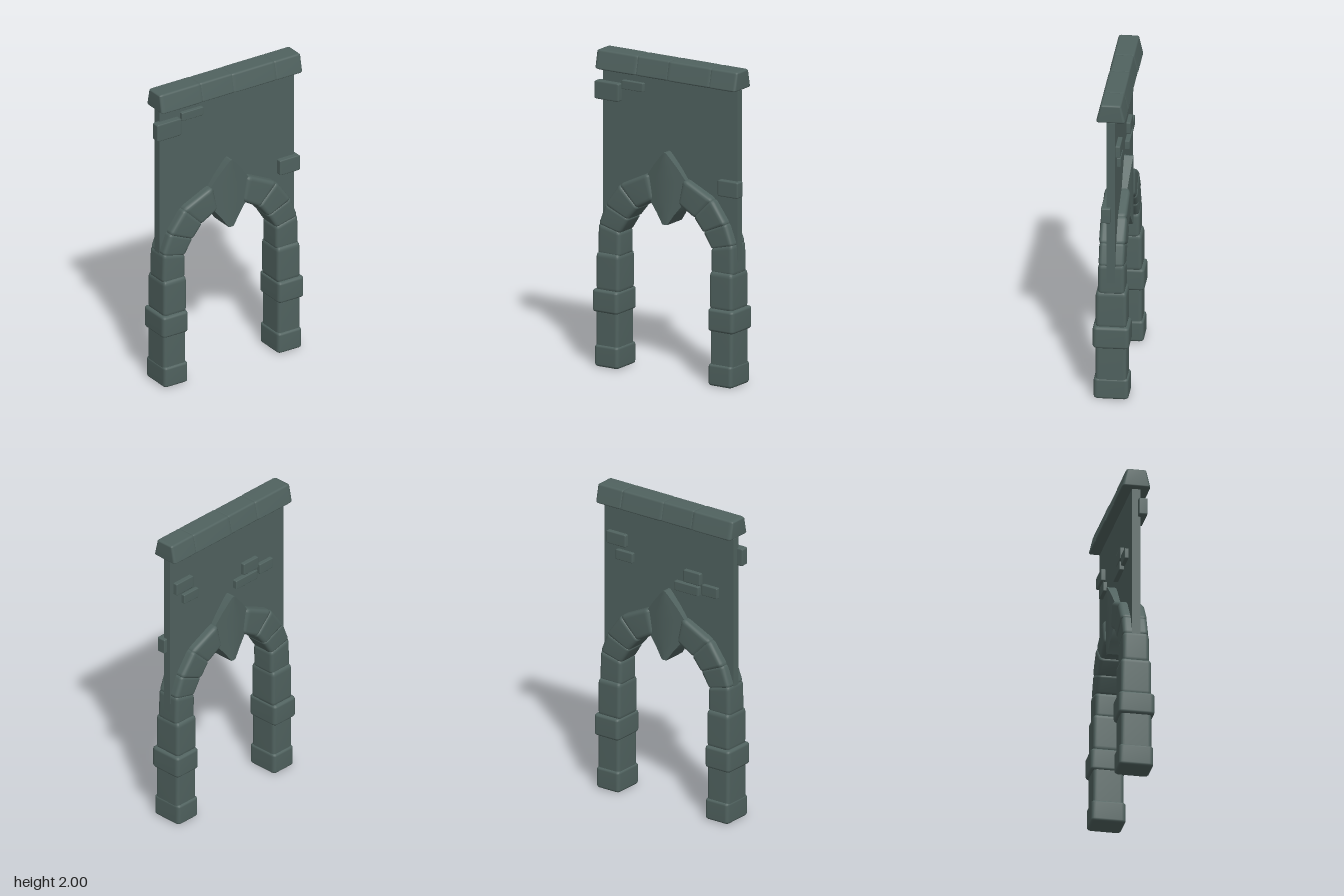
import * as THREE from 'three';
import { mergeVertices, toCreasedNormals } from 'three/addons/utils/BufferGeometryUtils.js';
import { RoundedBoxGeometry } from 'three/addons/geometries/RoundedBoxGeometry.js';

const stoneMat = new THREE.MeshStandardMaterial({ color: 0x50625f });
stoneMat.name = 'slate stone';

const lerp = THREE.MathUtils.lerp;

// Rounded stone warped to a four-cornered face (bl, br, tr, tl) with depth from z0 to z1;
// taper narrows the depth towards the top.
function stone(name, [bl, br, tr, tl], z0, z1, taper = 1, radius = 0.13) {
  let geo = new RoundedBoxGeometry(1, 1, 1, 2, radius);
  geo.deleteAttribute('normal');
  geo.deleteAttribute('uv');
  geo.clearGroups();
  geo = mergeVertices(geo, 1e-4);
  const p = geo.attributes.position;
  for (let i = 0; i < p.count; i++) {
    const u = p.getX(i) + 0.5, v = p.getY(i) + 0.5;
    const at = k => lerp(lerp(bl[k], br[k], u), lerp(tl[k], tr[k], u), v);
    const z = (z0 + z1) / 2 + p.getZ(i) * (z1 - z0) * lerp(1, taper, v);
    p.setXYZ(i, at(0), at(1), z);
  }
  geo.computeVertexNormals();
  const mesh = new THREE.Mesh(geo, stoneMat);
  mesh.name = name;
  return mesh;
}

const rect = (x0, x1, y0, y1) => [[x0, y0], [x1, y0], [x1, y1], [x0, y1]];

// Mirrors a face across x = 0, keeping its winding
const mirror = ([bl, br, tr, tl]) => [br, bl, tl, tr].map(([x, y]) => [-x + 0.004, y]);

// Thin wall above the arch, cut out along the arch stones
function wall() {
  const shape = new THREE.Shape();
  const arch = [[0.42, 0.72], [0.41, 0.86], [0.36, 0.99], [0.28, 1.1], [0.15, 1.17]];
  shape.moveTo(-0.49, 0.72);
  shape.lineTo(-0.49, 1.87);
  shape.lineTo(0.5, 1.87);
  shape.lineTo(0.5, 0.72);
  arch.forEach(([x, y]) => shape.lineTo(x, y));
  shape.lineTo(0, 1.22);
  arch.slice().reverse().forEach(([x, y]) => shape.lineTo(-x, y));
  const geo = new THREE.ExtrudeGeometry(shape, { depth: 0.052, bevelEnabled: false });
  geo.translate(0, 0, -0.026);
  const mesh = new THREE.Mesh(geo, stoneMat);
  mesh.name = 'wall';
  return mesh;
}

// Kite-shaped keystone with a ridge down the middle of both faces
function keystone() {
  const profile = [[0.965, 0.018], [1.03, 0.062], [1.1, 0.118], [1.17, 0.137],
    [1.245, 0.15], [1.33, 0.088], [1.4, 0.028], [1.422, 0.006]];
  const rows = profile.length - 1;
  const geo = new THREE.BoxGeometry(2, 1, 2, 4, rows, 2);
  const p = geo.attributes.position;
  for (let i = 0; i < p.count; i++) {
    const [y, w] = profile[Math.round((p.getY(i) + 0.5) * rows)];
    const x = p.getX(i) * w;
    p.setXYZ(i, x + 0.002, y, p.getZ(i) * (0.084 - 0.16 * Math.abs(x)));
  }
  const mesh = new THREE.Mesh(toCreasedNormals(geo, 0.5), stoneMat);
  mesh.name = 'keystone';
  return mesh;
}

export function createModel() {
  const model = new THREE.Group();
  model.name = 'stoneArchway';
  model.add(wall(), keystone());

  // Pillars: stacked stones as [x0, x1, y0, y1, half depth]
  const pillarStones = [
    ['pillarFoot', 0.332, 0.508, 0, 0.142, 0.108],
    ['pillarShaft', 0.34, 0.505, 0.1, 0.38, 0.096],
    ['pillarBand', 0.332, 0.522, 0.345, 0.492, 0.113],
    ['pillarTop', 0.335, 0.504, 0.475, 0.725, 0.096],
  ];
  for (const [name, x0, x1, y0, y1, d] of pillarStones) {
    const face = rect(x0, x1, y0, y1);
    model.add(stone(name + 'Left', face, -d, d));
    model.add(stone(name + 'Right', mirror(face), -d, d));
  }

  // Arch stones between matching joints: [inner point, outer point]
  const joints = [
    [[0.336, 0.71], [0.502, 0.71]],
    [[0.335, 0.86], [0.497, 0.9]],
    [[0.275, 0.955], [0.447, 1.03]],
    [[0.21, 1.035], [0.345, 1.17]],
    [[0.1, 1.1], [0.14, 1.268]],
  ];
  for (let i = 0; i < joints.length - 1; i++) {
    const [a, b] = joints[i], [c, d] = joints[i + 1];
    // stones overlap slightly so that only their rounded corners part
    const grow = (p, q) => [lerp(p[0], q[0], -0.06), lerp(p[1], q[1], -0.06)];
    const face = [grow(a, c), grow(b, d), grow(d, b), grow(c, a)];
    const depth = 0.083 - 0.003 * (i % 2);
    model.add(stone('archStoneLeft', face, -depth, depth, 1, 0.16));
    model.add(stone('archStoneRight', mirror(face), -depth, depth, 1, 0.16));
  }

  // Coping along the top, narrower at the crest
  const coping = [[-0.512, -0.2, 0.091], [-0.22, 0.035, 0.088], [0.01, 0.345, 0.092], [0.325, 0.525, 0.092]];
  for (const [x0, x1, d] of coping) {
    model.add(stone('copingStone', rect(x0, x1, 1.878, 2), -d, d, 0.68, 0.1));
  }

  // Loose bricks standing proud of the wall
  const bricks = [
    ['frontBrick', -0.53, -0.35, 1.685, 1.8, 0.01, 0.064],
    ['frontBrick', -0.34, -0.178, 1.77, 1.826, 0.0, 0.05],
    ['frontBrick', 0.375, 0.524, 1.198, 1.3, 0.0, 0.06],
    ['backBrick', 0.32, 0.47, 1.618, 1.7, -0.054, 0.0],
    ['backBrick', 0.27, 0.4, 1.525, 1.59, -0.05, 0.0],
    ['backBrick', -0.25, -0.12, 1.505, 1.585, -0.052, 0.0],
    ['backBrick', -0.24, -0.05, 1.435, 1.495, -0.055, 0.0],
    ['backBrick', -0.38, -0.26, 1.45, 1.52, -0.05, 0.0],
  ];
  for (const [name, x0, x1, y0, y1, z0, z1] of bricks) {
    model.add(stone(name, rect(x0, x1, y0, y1), z0, z1, 1, 0.09));
  }

  return model;
}
